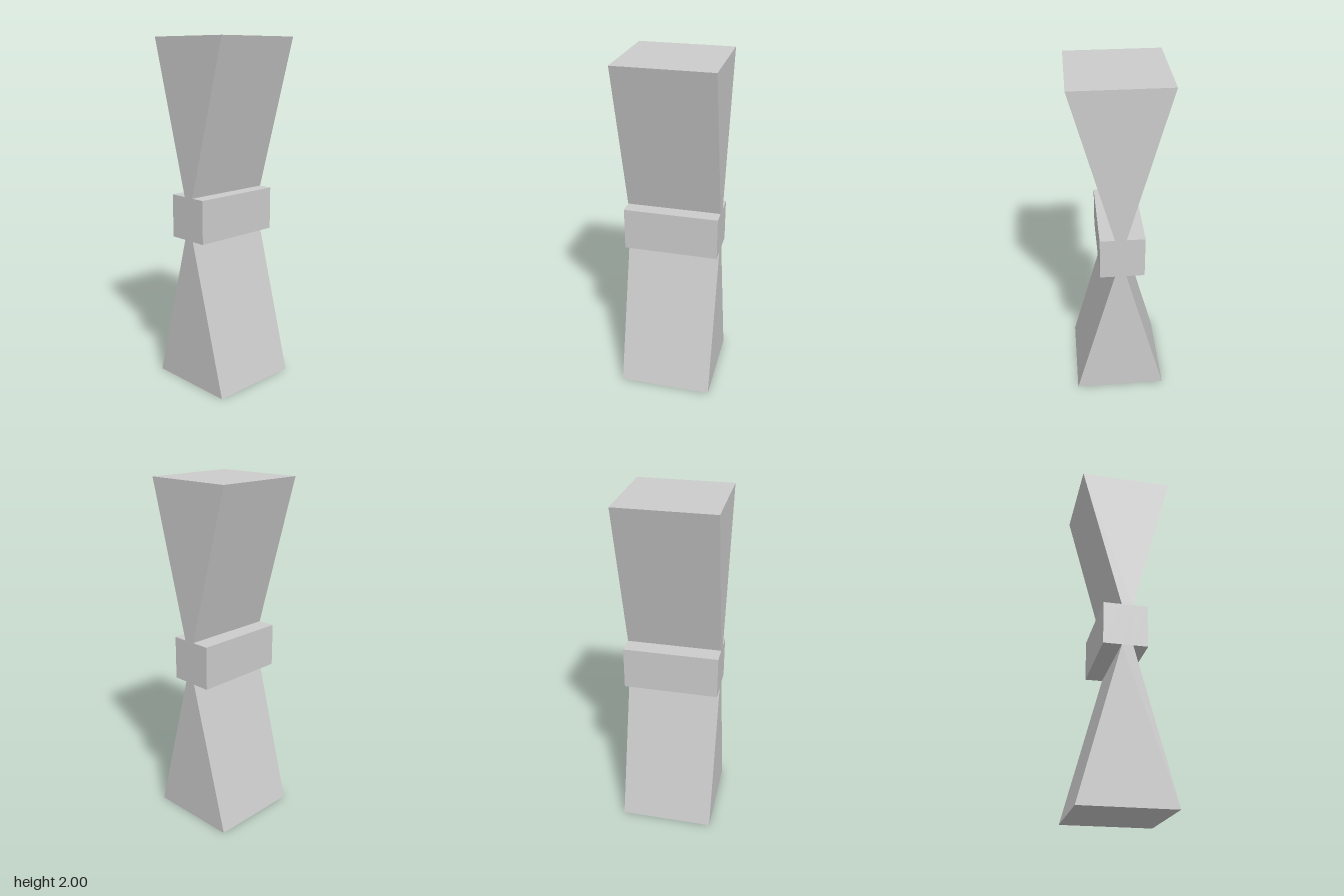
import * as THREE from 'three';

export function createModel() {
  const group = new THREE.Group();
  group.name = 'hourglassPost';
  const material = new THREE.MeshStandardMaterial({ color: 0xcccccc, flatShading: true });

  const depth = 0.548;
  const end = 0.268, waist = 0.032;          // half widths of the wedges
  const low = 0.878, high = 1.127;           // waist block heights
  const blockLeft = -0.136, blockRight = 0.116;

  // One continuous outline: lower wedge, waist block, upper wedge
  const outline = new THREE.Shape([
    [-end, 0], [end, 0], [waist, low], [blockRight, low],
    [blockRight, high], [waist, high], [end, 2], [-end, 2],
    [-waist, high], [blockLeft, high], [blockLeft, low], [-waist, low],
  ].map(([x, y]) => new THREE.Vector2(x, y)));

  const geometry = new THREE.ExtrudeGeometry(outline, { depth, bevelEnabled: false });
  geometry.translate(0, 0, -depth / 2);

  const post = new THREE.Mesh(geometry, material);
  post.name = 'post';
  post.rotation.y = -0.114;                  // slight twist off the axes
  group.add(post);
  return group;
}
